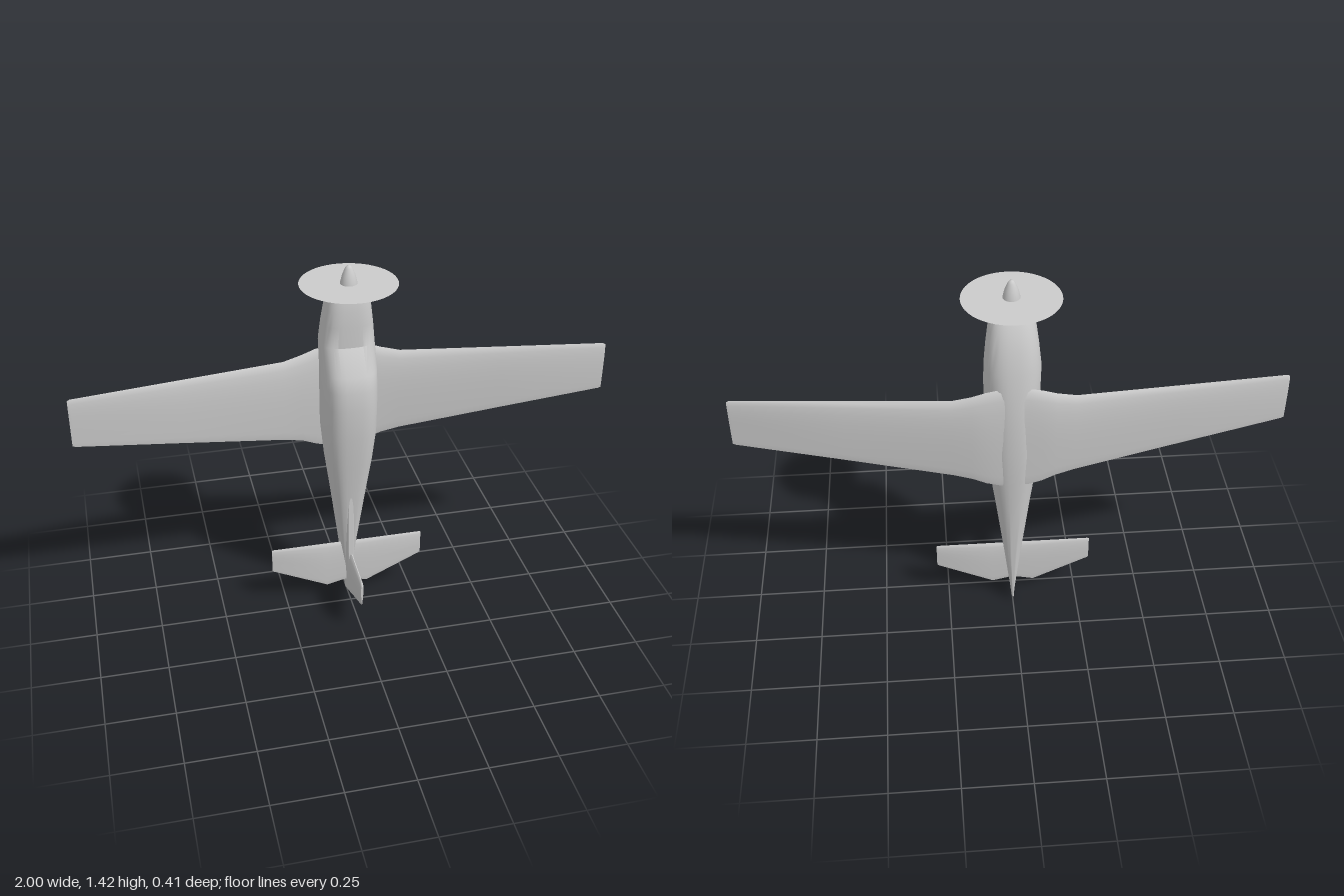
import * as THREE from 'three';
import { toCreasedNormals } from 'three/addons/utils/BufferGeometryUtils.js';

const material = new THREE.MeshStandardMaterial({ color: 0xcccccc, side: THREE.DoubleSide });

// Skins a list of equal-sized closed rings of points and caps both ends.
function loft(rings, crease = 0.6) {
  const n = rings[0].length, pos = [], idx = [];
  rings.forEach(r => r.forEach(p => pos.push(...p)));
  for (let i = 0; i < rings.length - 1; i++) {
    for (let j = 0; j < n; j++) {
      const k = (j + 1) % n, a = i * n, b = a + n;
      idx.push(a + j, b + j, a + k, a + k, b + j, b + k);
    }
  }
  [0, rings.length - 1].forEach((i, end) => {
    const c = pos.length / 3;
    for (let d = 0; d < 3; d++) pos.push(rings[i].reduce((s, p) => s + p[d], 0) / n);
    for (let j = 0; j < n; j++) {
      const a = i * n + j, b = i * n + (j + 1) % n;
      idx.push(c, ...(end ? [b, a] : [a, b]));
    }
  });
  const g = new THREE.BufferGeometry();
  g.setAttribute('position', new THREE.Float32BufferAttribute(pos, 3));
  g.setIndex(idx);
  return toCreasedNormals(g, crease);
}

// Aerofoil outline as [chordwise y, thickness offset] pairs, blunt at the leading edge.
function aerofoil(lead, trail, thickness, n = 20) {
  return Array.from({ length: n }, (_, j) => {
    const a = (j / n) * Math.PI * 2, c = Math.cos(a);
    return [trail + (lead - trail) * (1 + c) / 2, thickness / 2 * Math.sin(a) * (1 + 0.6 * c) / 1.22];
  });
}

// Full-span surface from half-span stations [x, lead, trail, z, thickness].
function spanSurface(stations) {
  const left = stations.map(([x, ...s]) => [-x, ...s]).reverse();
  return loft([...left, ...stations].map(([x, lead, trail, z, t]) =>
    aerofoil(lead, trail, t).map(([y, o]) => [x, y, z - o])));
}

// Fuselage ring: squarer towards the back of the plane, rounder under the belly.
function bodyRing([y, zTop, zBottom, w], n = 40) {
  const mid = (zTop + zBottom) / 2, half = (zTop - zBottom) / 2;
  return Array.from({ length: n }, (_, j) => {
    const a = (j / n) * Math.PI * 2, c = Math.cos(a), s = Math.sin(a);
    const p = 2 / (s > 0 ? 3 : 2.5);
    const pw = v => Math.sign(v) * Math.abs(v) ** p;
    return [w * pw(c), y, mid + half * pw(s)];
  });
}

export function createModel() {
  const model = new THREE.Group();
  const add = (name, geometry) => {
    const mesh = new THREE.Mesh(geometry, material);
    mesh.name = name;
    model.add(mesh);
    return mesh;
  };

  // Fuselage stations: y, upper z, belly z, half width
  add('fuselage', loft([
    [0.02, -0.07, -0.108, 0.004],
    [0.07, -0.05, -0.111, 0.01],
    [0.25, -0.021, -0.128, 0.032],
    [0.5, 0.02, -0.15, 0.065],
    [0.65, 0.045, -0.166, 0.086],
    [0.78, 0.066, -0.176, 0.099],
    [0.9, 0.076, -0.178, 0.1],
    [0.97, 0.074, -0.177, 0.1],
    [1.03, 0.064, -0.173, 0.1],
    [1.12, 0.003, -0.165, 0.1],
    [1.2, 0.006, -0.15, 0.092],
    [1.26, 0.006, -0.132, 0.084],
    [1.31, 0.001, -0.108, 0.075],
    [1.335, -0.005, -0.092, 0.07],
    [1.35, -0.014, -0.076, 0.06],
  ].map(s => bodyRing(s))));

  // Wing with flared root fairings and dihedral
  add('wing', spanSurface([
    [0.05, 1.06, 0.635, -0.157, 0.036],
    [0.1, 1.05, 0.648, -0.156, 0.042],
    [0.15, 1.033, 0.669, -0.153, 0.04],
    [0.22, 1.016, 0.686, -0.146, 0.036],
    [0.6, 1.008, 0.747, -0.104, 0.024],
    [0.99, 1.0, 0.808, -0.061, 0.013],
    [1.0, 0.995, 0.812, -0.06, 0.008],
  ]));

  // Horizontal tail
  const tail = add('tailplane', spanSurface([
    [0.01, 0.255, 0.07, -0.047, 0.016],
    [0.08, 0.255, 0.054, -0.047, 0.015],
    [0.292, 0.255, 0.152, -0.047, 0.01],
    [0.298, 0.253, 0.157, -0.047, 0.006],
  ]));
  tail.position.x = -0.005;

  // Upright fin with a long low fillet in front: z, lead, trail, thickness
  const fin = add('fin', loft([
    [-0.111, 0.1, 0.02, 0.006],
    [-0.09, 0.2, 0.002, 0.014],
    [-0.02, 0.4, 0.03, 0.024],
    [0.019, 0.5, 0.048, 0.024],
    [0.023, 0.24, 0.05, 0.023],
    [0.195, 0.23, 0.122, 0.017],
    [0.205, 0.215, 0.132, 0.01],
  ].map(([z, lead, trail, t]) => aerofoil(lead, trail, t).map(([y, o]) => [o, y, z]))));
  fin.position.x = -0.003;

  // Spinning propeller shown as a thin disc
  const disc = add('propellerDisc', new THREE.CircleGeometry(0.175, 48).rotateX(-Math.PI / 2));
  disc.position.set(0, 1.354, -0.035);

  // Pointed spinner
  const profile = [[0.031, 1.345], [0.03, 1.36], [0.024, 1.385], [0.014, 1.41], [0.007, 1.419], [0, 1.421]];
  const spinner = add('spinner', new THREE.LatheGeometry(profile.map(p => new THREE.Vector2(...p)), 24));
  spinner.position.z = -0.033;

  return model;
}
